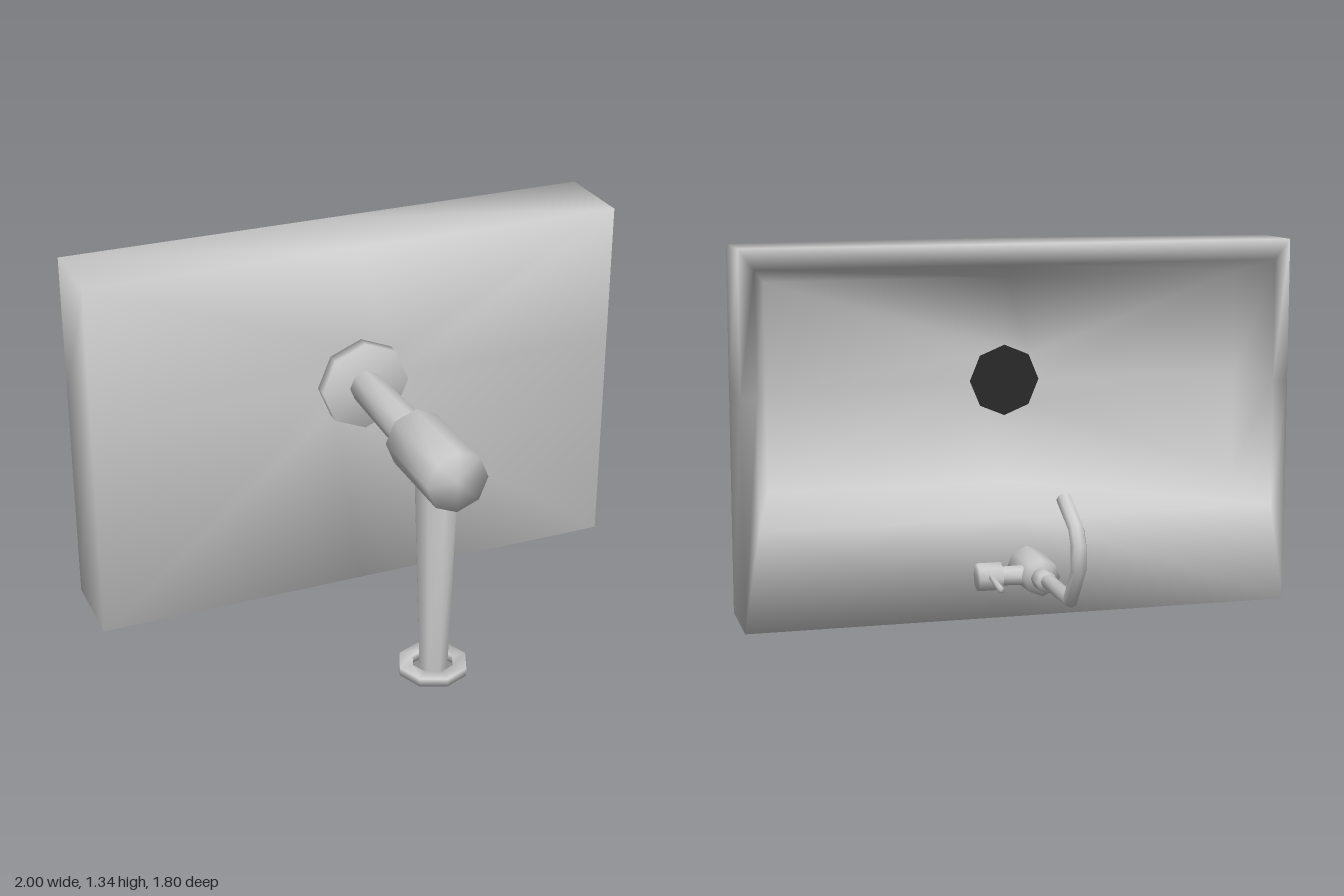
import * as THREE from 'three';
import { mergeVertices } from 'three/addons/utils/BufferGeometryUtils.js';

const grey = new THREE.MeshStandardMaterial({ color: 0xcccccc });
const greyBoth = new THREE.MeshStandardMaterial({ color: 0xcccccc, side: THREE.DoubleSide });
const dark = new THREE.MeshStandardMaterial({ color: 0x2a2a2a });
const V = (x, y, z) => new THREE.Vector3(x, y, z);
const DRAIN_Y = 0.82;

// Weld all corners so that shading runs smoothly over every edge
function smoothMesh(name, geometry, material = grey) {
  geometry.deleteAttribute('uv');
  geometry.deleteAttribute('normal');
  const welded = mergeVertices(geometry, 1e-4);
  welded.computeVertexNormals();
  const mesh = new THREE.Mesh(welded, material);
  mesh.name = name;
  return mesh;
}

// Eight-sided rod between two points
function rod(name, from, to, rFrom, rTo) {
  const dir = to.clone().sub(from);
  const geometry = new THREE.CylinderGeometry(rTo, rFrom, dir.length(), 8);
  geometry.applyQuaternion(new THREE.Quaternion().setFromUnitVectors(V(0, 1, 0), dir.clone().normalize()));
  const mid = from.clone().add(to).multiplyScalar(0.5);
  geometry.translate(mid.x, mid.y, mid.z);
  return smoothMesh(name, geometry);
}

// Eight-point loops for the basin
function octagonLoop(r, z) {
  return Array.from({ length: 8 }, (_, i) =>
    V(r * Math.cos(i * Math.PI / 4), DRAIN_Y + r * Math.sin(i * Math.PI / 4), z));
}

function rectLoop(w, y0, y1, z) {
  const ym = THREE.MathUtils.clamp(DRAIN_Y, y0, y1);
  return [[w, ym], [w, y1], [0, y1], [-w, y1], [-w, ym], [-w, y0], [0, y0], [w, y0]]
    .map(([x, y]) => V(x, y, z));
}

function loft(loops) {
  const n = loops[0].length;
  const index = [];
  for (let k = 0; k < loops.length - 1; k++) {
    for (let i = 0; i < n; i++) {
      const j = (i + 1) % n;
      const a = k * n + i, b = a + n, c = (k + 1) * n + j, d = k * n + j;
      index.push(a, b, c, a, c, d);
    }
  }
  const geometry = new THREE.BufferGeometry().setFromPoints(loops.flat());
  geometry.setIndex(index);
  return geometry;
}

// Tube whose rings fall exactly on the given points
function bentTube(name, points, radius) {
  const curve = new THREE.CatmullRomCurve3(points, false, 'catmullrom', 0);
  curve.getPointAt = (t, target) => curve.getPoint(t, target);
  curve.getTangentAt = (t, target) => {
    const i = Math.round(t * (points.length - 1));
    const before = points[Math.max(i - 1, 0)], here = points[i];
    const after = points[Math.min(i + 1, points.length - 1)];
    const out = target || V(0, 0, 0);
    out.set(0, 0, 0);
    if (i > 0) out.add(here.clone().sub(before).normalize());
    if (i < points.length - 1) out.add(after.clone().sub(here).normalize());
    return out.normalize();
  };
  return smoothMesh(name, new THREE.TubeGeometry(curve, points.length - 1, radius, 8), greyBoth);
}

export function createModel() {
  const model = new THREE.Group();
  model.name = 'washbasin';

  // Basin: outer underside, sides, rim, bowl wall and floor
  model.add(smoothMesh('basin', loft([
    octagonLoop(0.13, 0.075),
    rectLoop(1, 0, 1.335, 0.075),
    rectLoop(1, 0, 1.335, -0.235),
    rectLoop(0.944, 0.36, 1.262, -0.235),
    rectLoop(0.88, 0.45, 1.2, 0),
    octagonLoop(0.13, 0.03),
  ])));

  // Drain opening in the bowl floor
  const drain = new THREE.Mesh(new THREE.CircleGeometry(0.13, 8), dark);
  drain.name = 'drainOpening';
  drain.rotation.y = Math.PI;
  drain.position.set(0, DRAIN_Y, 0.031);
  model.add(drain);

  // Drain pipe and trap under the bowl
  const waste = new THREE.Group();
  waste.name = 'wastePipe';
  waste.add(
    rod('drainFlange', V(0, DRAIN_Y, 0.07), V(0, DRAIN_Y, 0.122), 0.165, 0.165),
    rod('tailPipe', V(0, DRAIN_Y, 0.11), V(0, DRAIN_Y, 0.58), 0.06, 0.072),
    rod('trapBody', V(0, DRAIN_Y, 0.56), V(0, DRAIN_Y, 0.9), 0.11, 0.11),
    rod('outletPipe', V(0, 0.01, 0.74), V(0, 0.76, 0.733), 0.052, 0.078),
  );
  const ring = [[0.075, 0], [0.125, 0], [0.125, 0.03], [0.075, 0.03], [0.075, 0]]
    .map(([x, y]) => new THREE.Vector2(x, y));
  const wallFlange = smoothMesh('wallFlange', new THREE.LatheGeometry(ring, 8));
  wallFlange.position.z = 0.735;
  waste.add(wallFlange);
  model.add(waste);

  // Tap on the rim ledge
  const tap = new THREE.Group();
  tap.name = 'tap';
  const tx = -0.012, ty = 0.185;
  tap.add(
    rod('tapBody', V(tx, ty, -0.225), V(tx, ty, -0.44), 0.072, 0.065),
    rod('spoutCollar', V(tx + 0.003, ty, -0.43), V(tx + 0.003, ty, -0.515), 0.039, 0.037),
    bentTube('spout', [
      [0.19, -0.45], [0.19, -0.78], [0.31, -0.869], [0.39, -0.869], [0.442, -0.84], [0.515, -0.7],
    ].map(([y, z]) => V(tx, y, z)), 0.027),
    rod('leverStem', V(0.03, ty, -0.375), V(0.14, ty, -0.372), 0.036, 0.033),
    rod('leverHub', V(0.12, ty, -0.37), V(0.205, ty, -0.37), 0.05, 0.05),
    rod('lever', V(0.165, 0.195, -0.39), V(0.173, 0.187, -0.58), 0.008, 0.012),
  );
  model.add(tap);

  return model;
}
